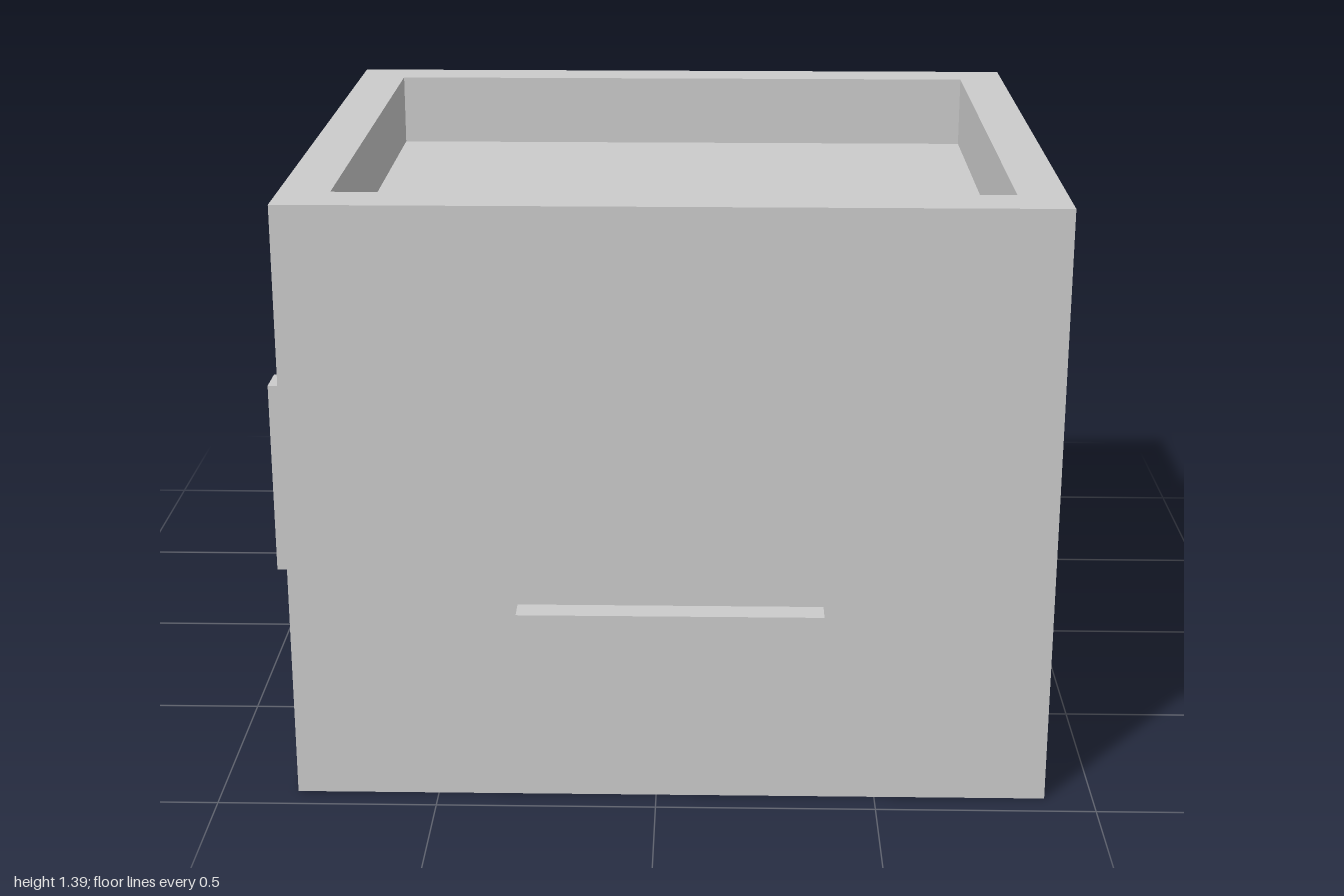
import * as THREE from 'three';
import { mergeGeometries } from 'three/addons/utils/BufferGeometryUtils.js';

const clay = new THREE.MeshStandardMaterial({ color: 0xcccccc });
clay.name = 'plainClay';

// Outer walls, roof pit and doorway extents
const X0 = -0.825, X1 = 0.89, Z0 = -0.585, Z1 = 0.94, H = 1.39;
const PX0 = -0.71, PX1 = 0.78, PZ0 = -0.475, PZ1 = 0.82, DECK = 1.215;
const MID = 0.033, DOOR = 0.235, DOOR_H = 0.73, DOOR_Z = -0.455;

const toShape = (pts) => new THREE.Shape(pts.map(([u, v]) => new THREE.Vector2(u, v)));

function rect(w, h, x, y, z, rx = 0, ry = 0) {
  return new THREE.PlaneGeometry(w, h).rotateX(rx).rotateY(ry).translate(x, y, z);
}

// Hollow-topped block with a doorway cut into the back
function bodyGeometry() {
  const Q = Math.PI / 2;
  const a = MID - DOOR, b = MID + DOOR;
  const cx = (X0 + X1) / 2, cz = (Z0 + Z1) / 2, w = X1 - X0, d = Z1 - Z0;
  const pcx = (PX0 + PX1) / 2, pcz = (PZ0 + PZ1) / 2, pw = PX1 - PX0, pd = PZ1 - PZ0;
  const ph = H - DECK, py = (H + DECK) / 2, dd = DOOR_Z - Z0, dz = (DOOR_Z + Z0) / 2;

  const underside = new THREE.ShapeGeometry(toShape([
    [X0, Z0], [a, Z0], [a, DOOR_Z], [b, DOOR_Z], [b, Z0], [X1, Z0], [X1, Z1], [X0, Z1],
  ])).rotateX(Q);
  const back = new THREE.ShapeGeometry(toShape([
    [-X1, 0], [-b, 0], [-b, DOOR_H], [-a, DOOR_H], [-a, 0], [-X0, 0], [-X0, H], [-X1, H],
  ])).rotateY(Math.PI).translate(0, 0, Z0);
  const rim = toShape([[X0, -Z1], [X1, -Z1], [X1, -Z0], [X0, -Z0]]);
  rim.holes.push(toShape([[PX0, -PZ1], [PX0, -PZ0], [PX1, -PZ0], [PX1, -PZ1]]));

  return mergeGeometries([
    underside, back,
    new THREE.ShapeGeometry(rim).rotateX(-Q).translate(0, H, 0),
    // outer walls
    rect(w, H, cx, H / 2, Z1),
    rect(d, H, X1, H / 2, cz, 0, Q),
    rect(d, H, X0, H / 2, cz, 0, -Q),
    // roof deck and inside of the parapet
    rect(pw, pd, pcx, DECK, pcz, -Q),
    rect(pw, ph, pcx, py, PZ0),
    rect(pw, ph, pcx, py, PZ1, 0, Math.PI),
    rect(pd, ph, PX0, py, pcz, 0, Q),
    rect(pd, ph, PX1, py, pcz, 0, -Q),
    // doorway recess
    rect(b - a, DOOR_H, MID, DOOR_H / 2, DOOR_Z, 0, Math.PI),
    rect(dd, DOOR_H, a, DOOR_H / 2, dz, 0, Q),
    rect(dd, DOOR_H, b, DOOR_H / 2, dz, 0, -Q),
    rect(b - a, dd, MID, DOOR_H, dz, Q),
  ]);
}

export function createModel() {
  const model = new THREE.Group();
  model.name = 'adobeHouse';

  const add = (name, geometry) => {
    const mesh = new THREE.Mesh(geometry, clay);
    mesh.name = name;
    model.add(mesh);
    return mesh;
  };
  // Box given by its minimum and maximum on each axis
  const box = (name, x0, x1, y0, y1, z0, z1) =>
    add(name, new THREE.BoxGeometry(x1 - x0, y1 - y0, z1 - z0)
      .translate((x0 + x1) / 2, (y0 + y1) / 2, (z0 + z1) / 2));

  add('walls', bodyGeometry());

  // Door surround
  const o = 0.302, i = DOOR;
  add('doorFrame', new THREE.ExtrudeGeometry(toShape([
    [-o, 0], [-i, 0], [-i, DOOR_H], [i, DOOR_H], [i, 0], [o, 0], [o, 0.8], [-o, 0.8],
  ]), { depth: 0.035, bevelEnabled: false }).translate(MID, 0, Z0 - 0.035));

  // Sloping porch roof: side profile extruded across the width
  add('porchRoof', new THREE.ExtrudeGeometry(toShape([
    [0.585, 0.914], [0.99, 0.802], [1.0, 0.83], [0.585, 0.945],
  ]), { depth: 1.44, bevelEnabled: false }).rotateY(Math.PI / 2).translate(-0.688, 0, 0));

  for (const side of [-1, 1]) {
    const x = MID + side * 0.667;
    box('porchPost', x - 0.026, x + 0.026, 0, 0.815, -0.97, -0.92);
  }

  // Five-sided roof beams poking out above the porch
  for (const x of [-0.56, 0.032, 0.624]) {
    const beam = new THREE.CylinderGeometry(0.04, 0.04, 0.19, 5).toNonIndexed();
    beam.rotateX(-Math.PI / 2);
    beam.computeVertexNormals();
    beam.computeBoundingBox();
    // keep one corner of the pentagon upward
    if (beam.boundingBox.max.y < 0.039) beam.rotateZ(Math.PI);
    add('roofBeam', beam.translate(x, 1.073, -0.667));
  }

  // Window sills and side shutters
  box('frontSill', -0.31, 0.375, 0.408, 0.472, Z1, 1.0);
  box('sideSill', -0.875, X0, 0.418, 0.482, 0.02, 0.552);
  for (const z of [-0.128, 0.618]) {
    box('shutter', -0.893, -0.842, 0.452, 0.905, z, z + 0.083);
  }

  // Rows of small triangles on the side wall
  const triangle = new THREE.ShapeGeometry(toShape([[-0.042, -0.025], [0.042, -0.025], [0, 0.03]]))
    .rotateY(-Math.PI / 2);
  for (let k = 0; k < 7; k++) {
    const z = -0.335 + k * 0.19;
    for (const y of [0.14, 0.72]) {
      if (y > 0.5 && k > 1 && k < 5) continue;
      add('wallTriangle', triangle).position.set(X0 - 0.002, y, z);
    }
  }
  return model;
}
